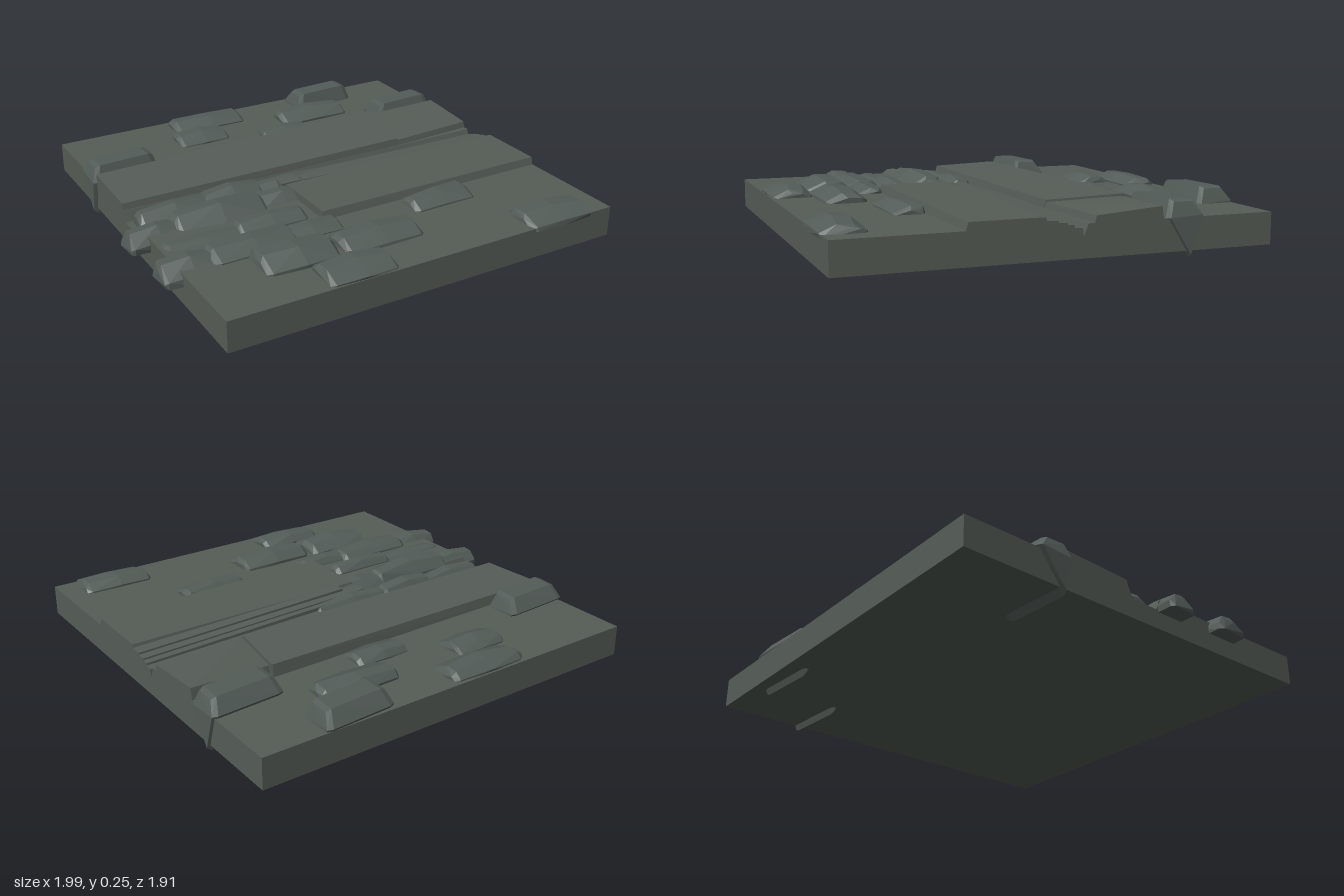
import * as THREE from 'three';
import { ConvexGeometry } from 'three/addons/geometries/ConvexGeometry.js';

export function createModel() {
  const model = new THREE.Group();
  const slate = new THREE.MeshStandardMaterial({ color: 0x565d57, flatShading: true });
  slate.name = 'slateGrey';
  const stoneGrey = new THREE.MeshStandardMaterial({ color: 0x535c58, flatShading: true });
  stoneGrey.name = 'stoneGrey';

  let seed = 7;
  const rand = () => ((seed = (seed * 16807) % 2147483647) / 2147483647) - 0.5;

  const add = (name, geometry, material) => {
    const mesh = new THREE.Mesh(geometry, material);
    mesh.name = name;
    model.add(mesh);
  };
  const hull = (name, points, material) =>
    add(name, new ConvexGeometry(points.map((p) => new THREE.Vector3(...p))), material);

  // Base slab: a (z, y) section with a shallow channel, run along x
  const section = new THREE.Shape([
    [-0.945, 0.03], [0.955, 0.03], [0.955, 0.17], [0.1, 0.17], [0.08, 0.12],
    [-0.06, 0.12], [-0.08, 0.17], [-0.945, 0.17],
  ].map((p) => new THREE.Vector2(...p)));
  const slab = new THREE.ExtrudeGeometry(section, { depth: 1.895, bevelEnabled: false });
  slab.rotateY(Math.PI / 2);
  slab.translate(-0.912, 0, 0);
  add('slab', slab, slate);

  // Flat paving planks: four top corners [x, y, z], widened a little at the foot
  const plank = (name, corners, foot = 0.16, flare = 0.01) => {
    const middle = corners.reduce((sum, c) => sum + c[2], 0) / 4;
    const base = corners.map(([x, , z]) => [x, foot, z + Math.sign(z - middle) * flare]);
    hull(name, [...corners, ...base], slate);
  };
  plank('backPlank', [
    [-0.912, 0.212, -0.435], [0.615, 0.226, -0.455], [0.55, 0.205, -0.11], [-0.912, 0.2, -0.11],
  ]);
  plank('backPlankEnd', [
    [0.62, 0.215, -0.435], [0.983, 0.222, -0.43], [0.983, 0.2, -0.135], [0.555, 0.196, -0.11],
  ]);
  plank('frontPlank', [
    [-0.19, 0.205, 0.085], [0.983, 0.205, 0.085], [0.983, 0.205, 0.405], [-0.19, 0.208, 0.41],
  ], 0.16, 0.014);

  // Split layers lying in the channel
  const layers = [
    [-0.3, -0.065, -0.02, 0.165], [0.0, -0.03, 0.02, 0.178],
    [-0.2, 0.0, 0.06, 0.188], [-0.1, 0.04, 0.085, 0.198],
  ];
  layers.forEach(([x, z1, z2, y], i) => plank('channelLayer' + (i + 1), [
    [x, y + 0.01, z1], [0.983, y - 0.012, z1 - 0.01], [0.983, y - 0.008, z2], [x, y + 0.01, z2],
  ], 0.115, 0.004));

  // Rough stone: tapered rings of points along x
  const stone = (name, [x1, x2, z1, z2, top, foot = 0.155]) => {
    const w = x2 - x1, d = z2 - z1, h = top - foot;
    const points = [];
    [[0, 0.78], [0.07, 0.96], [0.5, 1], [0.93, 0.96], [1, 0.78]].forEach(([t, s], i) => {
      const end = i === 0 || i === 4;
      const ridge = end ? 0.55 : i === 2 ? 1 : 0.84;
      const shift = rand() * 0.2;
      [[-0.5, 0], [-0.5, 0.42], [-0.3 + shift, 0.94], [0.05 + shift, 1], [0.5, 0.4], [0.5, 0]]
        .forEach(([z, y]) => points.push([
          x1 + t * w + (end ? -Math.sign(t - 0.5) * Math.abs(rand()) * 0.025 : 0),
          foot + h * y * ridge,
          (z1 + z2) / 2 + d * z * s + rand() * 0.008,
        ]));
    });
    hull(name, points, stoneGrey);
  };

  // Paving stones: [x from, x to, z from, z to, top]
  [
    [-0.35, 0.04, -0.945, -0.775, 0.215], [-0.4, -0.13, -0.775, -0.605, 0.212],
    [0.18, 0.57, -0.775, -0.605, 0.222], [0.0, 0.27, -0.605, -0.455, 0.208],
    [0.2, 0.53, 0.415, 0.57, 0.215], [-0.63, -0.28, 0.53, 0.75, 0.232],
    [-0.27, 0.125, 0.555, 0.755, 0.225], [-0.455, -0.125, 0.75, 0.94, 0.218],
    [0.54, 0.885, 0.755, 0.955, 0.215],
  ].forEach((s, i) => stone('pavingStone' + (i + 1), s));

  // Overlapping rubble at the left end
  [
    [-0.89, -0.52, -0.09, 0.055, 0.2, 0.115], [-0.57, -0.27, -0.095, 0.06, 0.215, 0.115],
    [-0.33, 0.115, -0.075, 0.05, 0.2, 0.115], [-1.0, -0.71, 0.07, 0.215, 0.2, 0.11],
    [-0.79, -0.33, 0.045, 0.225, 0.232, 0.13], [-0.4, -0.09, 0.045, 0.2, 0.212, 0.13],
    [-0.9, -0.52, 0.26, 0.37, 0.185], [-0.57, -0.23, 0.255, 0.385, 0.212],
    [-0.99, -0.71, 0.39, 0.555, 0.205, 0.115], [-0.77, -0.36, 0.375, 0.56, 0.215],
    [-0.44, -0.14, 0.41, 0.535, 0.205],
  ].forEach((s, i) => stone('rubble' + (i + 1), s));

  // Large wedge stones that pass through the slab: [x from, x to, z centre, keel offset]
  [
    [-0.93, -0.595, -0.52, 0.05], [0.655, 0.995, -0.53, -0.025], [0.355, 0.69, -0.865, -0.015],
  ].forEach(([x1, x2, z, keel], i) => {
    const points = [];
    const ring = [[-0.085, 0.18], [-0.04, 0.242], [0.06, 0.245], [0.085, 0.17], [keel, 0]];
    [[x1, 0.88, 0], [x1 + 0.025, 1, 0], [x2 - 0.025, 1, 0], [x2, 0.88, 0]].forEach(([x, s]) => {
      const skew = (x - (x1 + x2) / 2) * -0.06;
      ring.forEach(([dz, y], k) => points.push([
        k === 1 || k === 2 ? x + (x < (x1 + x2) / 2 ? 0.02 : -0.02) : x,
        y > 0.1 ? 0.17 + (y - 0.17) * s : 0.015 * (1 - s) * 8,
        z + dz * s + skew,
      ]));
    });
    hull('wedgeStone' + (i + 1), points, stoneGrey);
  });

  return model;
}
